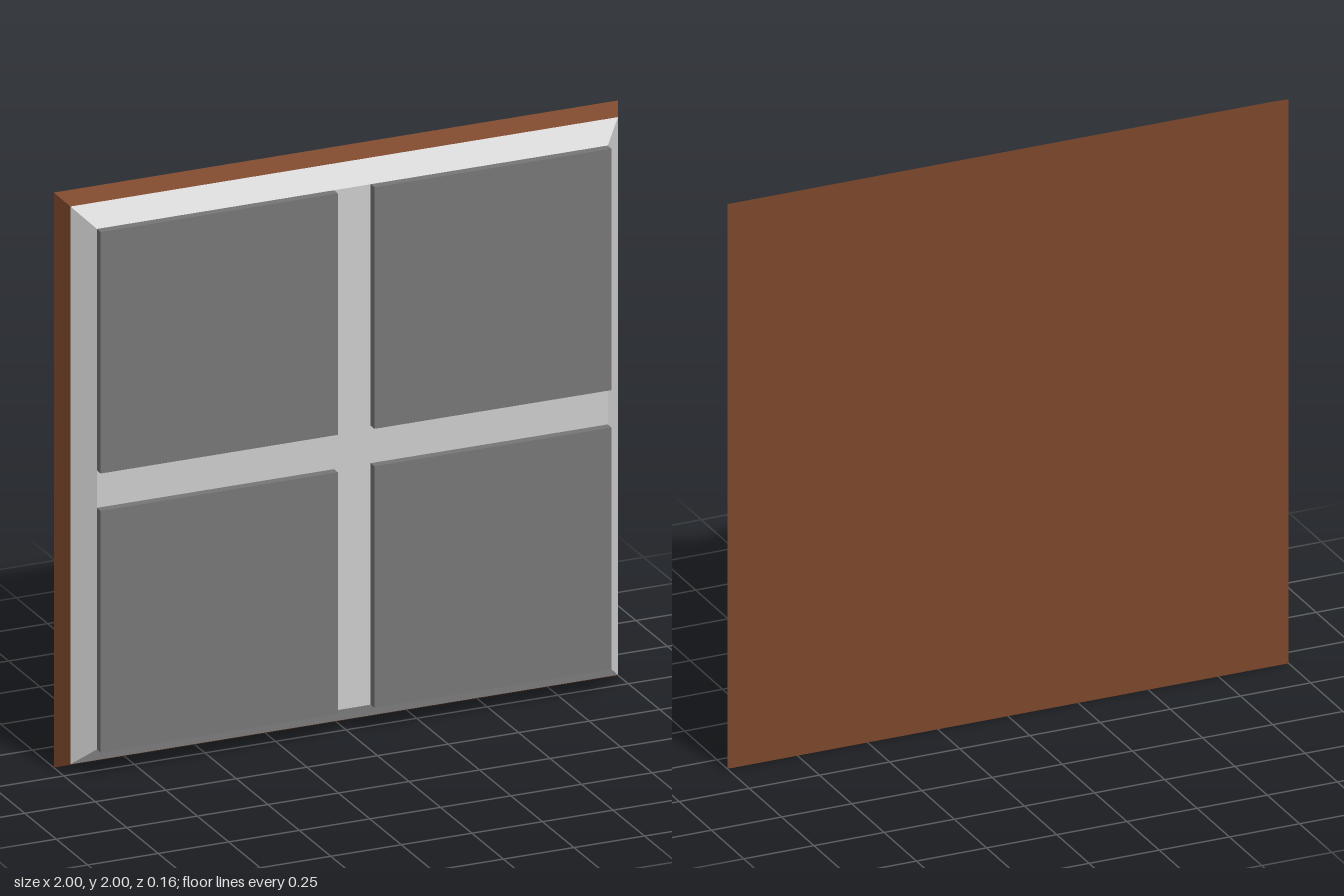
import * as THREE from 'three';

const BACK = -0.08, RIM = -0.015, FACE = 0.05, FRONT = 0.08; // depth levels along z

const material = (color) => new THREE.MeshStandardMaterial({ color, flatShading: true });

// Square slab tapering from one half-width at the back to another at the front
function taperedSlab(name, backHalf, frontHalf, z0, z1, mat) {
  const geometry = new THREE.CylinderGeometry(frontHalf * Math.SQRT2, backHalf * Math.SQRT2, z1 - z0, 4);
  geometry.rotateY(Math.PI / 4).rotateX(Math.PI / 2);
  const mesh = new THREE.Mesh(geometry, mat);
  mesh.name = name;
  mesh.position.set(0, 1, (z0 + z1) / 2);
  return mesh;
}

export function createModel() {
  const group = new THREE.Group();
  group.name = 'windowPanel';

  // Wooden backing and bevelled frame in front of it
  group.add(taperedSlab('woodBacking', 1, 0.97, BACK, RIM, material(0x7b462a)));
  group.add(taperedSlab('bevelledFrame', 0.97, 0.905, RIM, FACE, material(0xcccccc)));

  // Four raised square panes, leaving a cross-shaped channel between them
  const inner = 0.065, outer = 0.905, size = outer - inner, centre = (inner + outer) / 2;
  const paneGeometry = new THREE.BoxGeometry(size, size, FRONT - FACE);
  const paneMaterial = material(0x767676);
  for (const [vertical, sy] of [['upper', 1], ['lower', -1]]) {
    for (const [horizontal, sx] of [['Left', 1], ['Right', -1]]) {
      const pane = new THREE.Mesh(paneGeometry, paneMaterial);
      pane.name = `${vertical}${horizontal}Pane`;
      pane.position.set(sx * centre, 1 + sy * centre, (FACE + FRONT) / 2);
      group.add(pane);
    }
  }
  return group;
}
